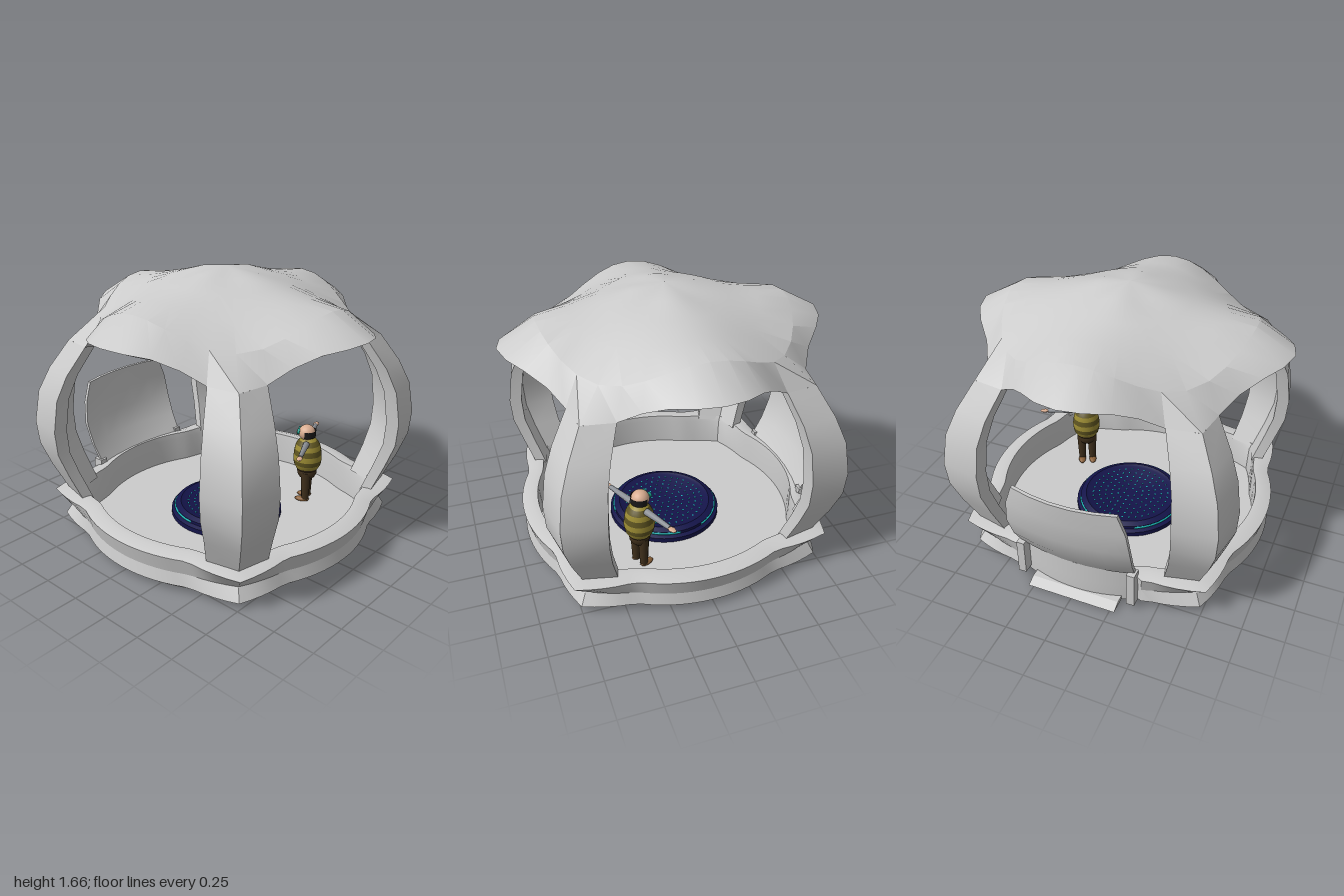
import * as THREE from 'three';
import { mergeGeometries, toCreasedNormals } from 'three/addons/utils/BufferGeometryUtils.js';

const V = (x, y, z) => new THREE.Vector3(x, y, z);
const mat = (color = 0xcccccc) => new THREE.MeshStandardMaterial({ color, side: THREE.DoubleSide });
const grey = mat();

function add(parent, name, geo, material = grey, x = 0, y = 0, z = 0) {
  const m = new THREE.Mesh(geo, material);
  m.name = name;
  m.position.set(x, y, z);
  parent.add(m);
  return m;
}

// Skin between rows of points; flip turns the faces around
function skin(rows, flip = false) {
  const pos = [], n = rows[0].length;
  const tri = (a, b, c) => (flip ? [a, c, b] : [a, b, c]).forEach(p => pos.push(p.x, p.y, p.z));
  for (let i = 0; i + 1 < rows.length; i++) {
    for (let j = 0; j + 1 < n; j++) {
      const a = rows[i][j], b = rows[i][j + 1], c = rows[i + 1][j], d = rows[i + 1][j + 1];
      tri(a, c, d);
      tri(a, d, b);
    }
  }
  const g = new THREE.BufferGeometry();
  g.setAttribute('position', new THREE.Float32BufferAttribute(pos, 3));
  return g;
}

// Columns across one side of the dome: 0 = middle of the arch, 1 = corner rib
const half = [0, 0.18, 0.36, 0.56, 0.765, 1];
const cols = [...half.slice(1).reverse().map(u => -u), ...half];
// Roof rings: radius, height over the arch, height at the rib
const rings = [[0, 1.66, 1.66], [0.2, 1.63, 1.615], [0.37, 1.58, 1.57], [0.55, 1.54, 1.48], [0.75, 1.515, 1.36]];
// Roof edge for each column of half: radius, height
const brim = [[0.98, 1.385], [0.955, 1.375], [0.905, 1.355], [0.85, 1.292], [0.849, 1.22], [0.947, 1.22]];
// Leg sections: height, corner, edge x, edge z
const legs = [[1.22, 0.67, 0.48, 0.70], [1.05, 0.76, 0.545, 0.80], [0.9, 0.815, 0.58, 0.858], [0.7, 0.84, 0.592, 0.885],
  [0.55, 0.83, 0.588, 0.875], [0.4, 0.785, 0.565, 0.825], [0.22, 0.715, 0.52, 0.76]];

function domeSide() {
  const polar = (r, u, y) => V(r * Math.sin(u * Math.PI / 4), y, r * Math.cos(u * Math.PI / 4));
  const outer = rings.map(([r, ya, yd]) => cols.map(u => {
    const t = 0.5 + 0.5 * Math.cos(Math.abs(u) * Math.PI);
    return polar(r, u, yd + (ya - yd) * t);
  }));
  outer.push(cols.map(u => {
    const [r, y] = brim[half.indexOf(Math.abs(u))];
    return polar(r, u, y);
  }));
  const inset = (p, corner, drop) => V(p.x * (corner ? 0.915 : 0.965), p.y - drop, p.z * 0.915);
  const inner = outer.map((row, k) => row.map((p, j) => {
    const u = Math.abs(cols[j]);
    return inset(p, u === 1, k === 5 && u > 0.7 ? 0 : 0.035);
  }));
  const parts = [skin(outer), skin(inner, true), skin([outer[5].slice(1, -1), inner[5].slice(1, -1)])];
  for (const s of [-1, 1]) {
    const out = legs.map(([y, c, ex, ez]) => [V(s * ex, y, ez), V(s * c, y, c)]);
    const inn = out.map(([e, c]) => [inset(e, false, 0), inset(c, true, 0)]);
    parts.push(skin(out, s < 0), skin(inn, s > 0), skin(out.map((r, i) => [inn[i][0], r[0]]), s < 0));
  }
  return mergeGeometries(parts);
}

// Round base with pointed corners: radius, corner radius, height
function baseGeometry() {
  const profile = [[0, 0, 0.03], [0.82, 0.9, 0.03], [0.825, 0.91, 0.2], [0.83, 0.93, 0.24], [0.87, 0.99, 0.24], [0.93, 1.1, 0.22],
    [0.905, 0.995, 0.12], [0.92, 1.045, 0.045], [0.875, 0.95, 0.045], [0.865, 0.94, 0], [0, 0, 0]];
  const N = 96;
  const rows = profile.map(([r, rc, y]) => Array.from({ length: N + 1 }, (_, i) => {
    const deg = i * 360 / N;
    const bump = Math.max(0, 1 - Math.abs(deg % 90 - 45) / 17);
    let R = r + (rc - r) * bump;
    if (Math.abs(deg - 270) < 24) R = Math.min(R, 0.867); // recess behind the gate
    const a = deg * Math.PI / 180;
    return V(R * Math.sin(a), y, R * Math.cos(a));
  }));
  return skin(rows);
}

// Curved gate panel: height, half width, x in the middle
function panelGeometry() {
  const sections = [[0.24, 0.365, -0.855], [0.36, 0.377, -0.925], [0.5, 0.382, -0.975], [0.65, 0.365, -0.992], [0.78, 0.318, -1]];
  const ts = [-1, -0.6, -0.2, 0.2, 0.6, 1];
  const rows = sections.map(([y, w, x]) => {
    const at = (t, d) => V(x + 0.05 * t * t + d, y, t * w);
    const face = ts.map(t => at(t, 0)), back = ts.map(t => at(t, 0.022)).reverse();
    return [...face, ...back, face[0]];
  });
  const cap = row => row.map((p, i) => row[i < 6 ? i : i < 12 ? 11 - i : 0]);
  return skin([cap(rows[0]), ...rows, cap(rows[4])], true);
}

// Round glowing platform
function platform() {
  const g = new THREE.Group();
  g.name = 'platform';
  const navy = mat(0x14144a), cyan = mat(0x18b8b8);
  const profile = [[0, 0], [0.36, 0], [0.36, 0.03], [0.335, 0.04], [0.335, 0.06], [0.3, 0.075], [0.28, 0.065], [0, 0.065]];
  const body = new THREE.LatheGeometry(profile.map(p => new THREE.Vector2(...p)), 40);
  add(g, 'platformBody', toCreasedNormals(body, 0.5), navy);
  for (let i = 0; i < 4; i++) {
    const arc = new THREE.TorusGeometry(0.335, 0.008, 6, 16, 1.1).rotateX(Math.PI / 2).rotateY(i * Math.PI / 2);
    add(g, 'lightArc', arc, cyan, 0, 0.05, 0);
  }
  const dots = [];
  for (let k = 1; k <= 6; k++) {
    for (let i = 0; i < k * 6; i++) {
      const a = i / (k * 6) * Math.PI * 2;
      dots.push(new THREE.BoxGeometry(0.009, 0.004, 0.009).translate(0.042 * k * Math.cos(a), 0.066, 0.042 * k * Math.sin(a)));
    }
  }
  add(g, 'lightDots', mergeGeometries(dots), cyan);
  return g;
}

// Standing figure with arms out, facing its own +z
function figure() {
  const g = new THREE.Group();
  g.name = 'figure';
  const skinTone = mat(0xd8ac90), olive = mat(0x9c8c34), dark = mat(0x5e5420), brown = mat(0x40301c);
  const hair = mat(0x1c1a1a), teal = mat(0x18a090), sleeve = mat(0x8c9096), shoe = mat(0x8a6038);
  // striped body
  const body = new THREE.SplineCurve([[0.06, 0.25], [0.085, 0.29], [0.094, 0.34], [0.088, 0.4], [0.072, 0.45], [0.03, 0.49]]
    .map(p => new THREE.Vector2(...p)));
  for (let i = 0; i < 8; i++) {
    const pts = [0, 0.5, 1].map(t => body.getPoint((i + t) / 8));
    add(g, 'bodyStripe', new THREE.LatheGeometry(pts, 20), i === 0 ? brown : i % 2 ? olive : dark);
  }
  add(g, 'hips', new THREE.SphereGeometry(0.066, 16, 10), brown, 0, 0.245, 0);
  // head
  add(g, 'head', new THREE.SphereGeometry(0.056, 18, 14).scale(1, 0.95, 1), skinTone, 0, 0.518, 0.01);
  add(g, 'nose', new THREE.SphereGeometry(0.014, 8, 8), skinTone, 0, 0.51, 0.068);
  const band = new THREE.CylinderGeometry(0.058, 0.056, 0.045, 16, 1, true, Math.PI * 0.45, Math.PI * 1.1);
  add(g, 'hair', band, hair, 0, 0.515, 0.008);
  for (const s of [-1, 1]) {
    add(g, 'lens', new THREE.CylinderGeometry(0.018, 0.018, 0.016, 12).rotateX(Math.PI / 2), teal, s * 0.022, 0.528, 0.06);
    const arm = new THREE.CylinderGeometry(0.014, 0.022, 0.2, 8).rotateZ(-s * Math.PI / 2);
    add(g, 'arm', arm, sleeve, s * 0.165, 0.46, 0);
    add(g, 'hand', new THREE.SphereGeometry(0.02, 8, 6).scale(1.7, 0.45, 1), skinTone, s * 0.285, 0.46, 0);
    add(g, 'leg', new THREE.CylinderGeometry(0.034, 0.024, 0.2, 10), brown, s * 0.036, 0.145, 0);
    add(g, 'shoe', new THREE.SphereGeometry(0.026, 10, 6).scale(1, 0.65, 1.9), shoe, s * 0.038, 0.045, 0.02);
  }
  return g;
}

export function createModel() {
  const model = new THREE.Group();
  model.name = 'pavilion';
  const cx = 0.013;

  // four equal sides make the dome and its corner legs
  const sides = [0, 1, 2, 3].map(i => domeSide().rotateY(i * Math.PI / 2));
  add(model, 'domeAndLegs', toCreasedNormals(mergeGeometries(sides), 0.42), grey, cx);
  add(model, 'base', toCreasedNormals(baseGeometry(), 0.42), grey, cx);

  // gate on the right side, with posts and a low step
  add(model, 'gatePanel', toCreasedNormals(panelGeometry(), 0.5));
  for (const s of [-1, 1]) add(model, 'gatePost', new THREE.BoxGeometry(0.07, 0.23, 0.05), grey, -0.82, 0.15, s * 0.355);
  const wedge = new THREE.Shape([[-0.92, 0.004], [-0.86, 0.03], [-0.7, 0.03], [-0.7, 0.004]].map(p => new THREE.Vector2(...p)));
  add(model, 'step', new THREE.ExtrudeGeometry(wedge, { depth: 0.56, bevelEnabled: false }), grey, 0, 0, -0.28);

  const disc = platform();
  disc.position.set(cx, 0.03, 0);
  model.add(disc);

  const person = figure();
  person.position.set(0.32, 0, -0.465);
  person.rotation.y = -1.14;
  model.add(person);
  return model;
}
